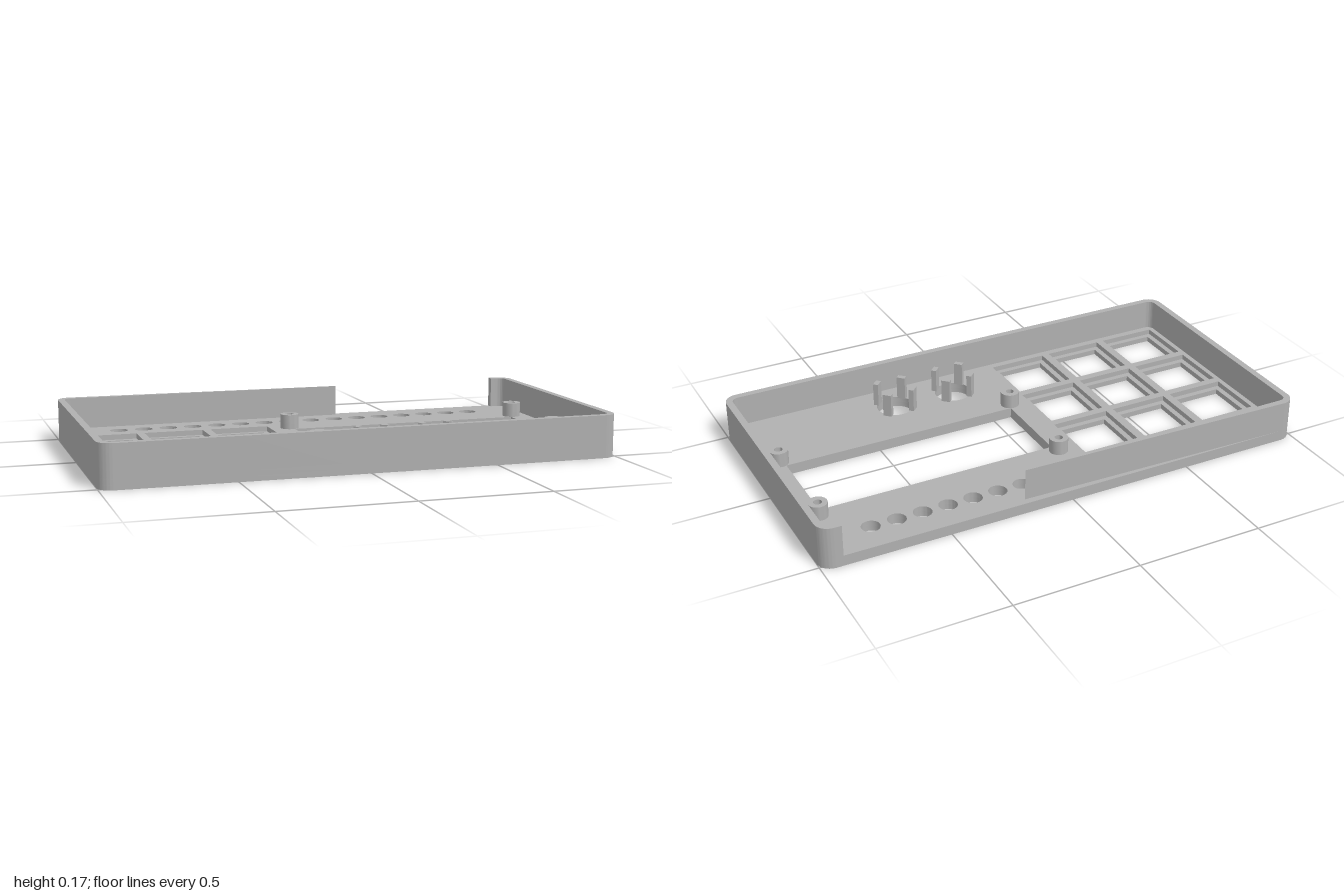
import * as THREE from 'three';
import { toCreasedNormals } from 'three/addons/utils/BufferGeometryUtils.js';

const W = 1, D = 0.527, R = 0.055;      // outer half sizes and corner radius
const WALL = 0.027, HEIGHT = 0.167;
const FLOOR = 0.042, LEDGE = 0.021;     // floor top, key ledge top
const NOTCH = [0.19, 0.917];            // opening in the back wall

const range = (n, start, step) => Array.from({ length: n }, (_, i) => start + i * step);

// Shapes are drawn in plan with shape y = -z, then laid flat.
function extrudeUp(shape, y0, y1) {
  const geo = new THREE.ExtrudeGeometry(shape, { depth: y1 - y0, bevelEnabled: false, curveSegments: 16 });
  geo.rotateX(-Math.PI / 2).translate(0, y0, 0);
  return toCreasedNormals(geo, 0.6);
}

// Visits the four rounded corners from back left, anticlockwise in plan.
function cornerArcs(path, w, d, r, reverse = false) {
  const arcs = [[-1, 1, 1], [-1, -1, 2], [1, -1, 3], [1, 1, 4]];
  if (reverse) arcs.reverse();
  for (const [sx, sy, q] of arcs) {
    const a = q * Math.PI / 2, b = a + Math.PI / 2;
    path.absarc(sx * (w - r), sy * (d - r), r, reverse ? b : a, reverse ? a : b, reverse);
  }
}

function rectHole(x, z, w, d) {
  const p = new THREE.Path();
  p.moveTo(x - w / 2, -z - d / 2).lineTo(x - w / 2, -z + d / 2);
  p.lineTo(x + w / 2, -z + d / 2).lineTo(x + w / 2, -z - d / 2).closePath();
  return p;
}

function roundHole(x, z, r) {
  return new THREE.Path().absarc(x, -z, r, 0, Math.PI * 2, true);
}

const KEY_X = range(3, -0.832, 0.272), KEY_Z = range(3, -0.192, 0.272);
const LED_X = range(16, -0.767, 0.102);
const KNOB_X = [0.075, 0.334], KNOB_Z = 0.358;

// One floor layer with all its cut-outs
function floorLayer(keySize, y0, y1) {
  const shape = new THREE.Shape();
  cornerArcs(shape, W, D, R);
  shape.closePath();
  for (const x of KEY_X) for (const z of KEY_Z) shape.holes.push(rectHole(x, z, keySize, keySize));
  for (const x of LED_X) shape.holes.push(roundHole(x, -0.402, 0.036));
  for (const x of KNOB_X) shape.holes.push(roundHole(x, KNOB_Z, 0.075));
  shape.holes.push(rectHole(0.4065, -0.0455, 0.963, 0.343));
  return extrudeUp(shape, y0, y1);
}

export function createModel() {
  const model = new THREE.Group();
  model.name = 'keypadCase';
  const grey = new THREE.MeshStandardMaterial({ color: 0xb0b0b0 });
  grey.name = 'grey plastic';

  function add(name, geometry, parent = model) {
    const mesh = new THREE.Mesh(geometry, grey);
    mesh.name = name;
    parent.add(mesh);
    return mesh;
  }

  // Floor: narrow key openings below, wider recesses above
  add('facePlate', floorLayer(0.195, 0, LEDGE));
  add('recessLayer', floorLayer(0.24, LEDGE, FLOOR));

  // Rim wall, open along part of the back
  const wall = new THREE.Shape();
  wall.moveTo(NOTCH[0], D);
  cornerArcs(wall, W, D, R);
  wall.lineTo(NOTCH[1], D).lineTo(NOTCH[1], D - WALL);
  cornerArcs(wall, W - WALL, D - WALL, R - WALL, true);
  wall.lineTo(NOTCH[0], D - WALL).closePath();
  add('rimWall', extrudeUp(wall, FLOOR, HEIGHT));

  // Hollow screw posts around the screen window
  const ring = new THREE.Shape().absarc(0, 0, 0.037, 0, Math.PI * 2, false);
  ring.holes.push(roundHole(0, 0, 0.016));
  const postGeo = extrudeUp(ring, FLOOR, FLOOR + 0.058);
  for (const x of [-0.088, 0.904]) for (const z of [-0.251, 0.16]) {
    add('screenPost', postGeo).position.set(x, 0, z);
  }

  // Four upright clips around each knob hole
  const clipHeight = 0.095;
  const clipGeo = new THREE.BoxGeometry(0.021, clipHeight, 0.035);
  clipGeo.translate(0.0765, FLOOR + clipHeight / 2, 0);
  for (const x of KNOB_X) {
    const clips = new THREE.Group();
    clips.name = 'knobClips';
    clips.position.set(x, 0, KNOB_Z);
    for (let i = 0; i < 4; i++) {
      add('clip', clipGeo, clips).rotation.y = Math.PI / 4 + i * Math.PI / 2;
    }
    model.add(clips);
  }

  return model;
}
